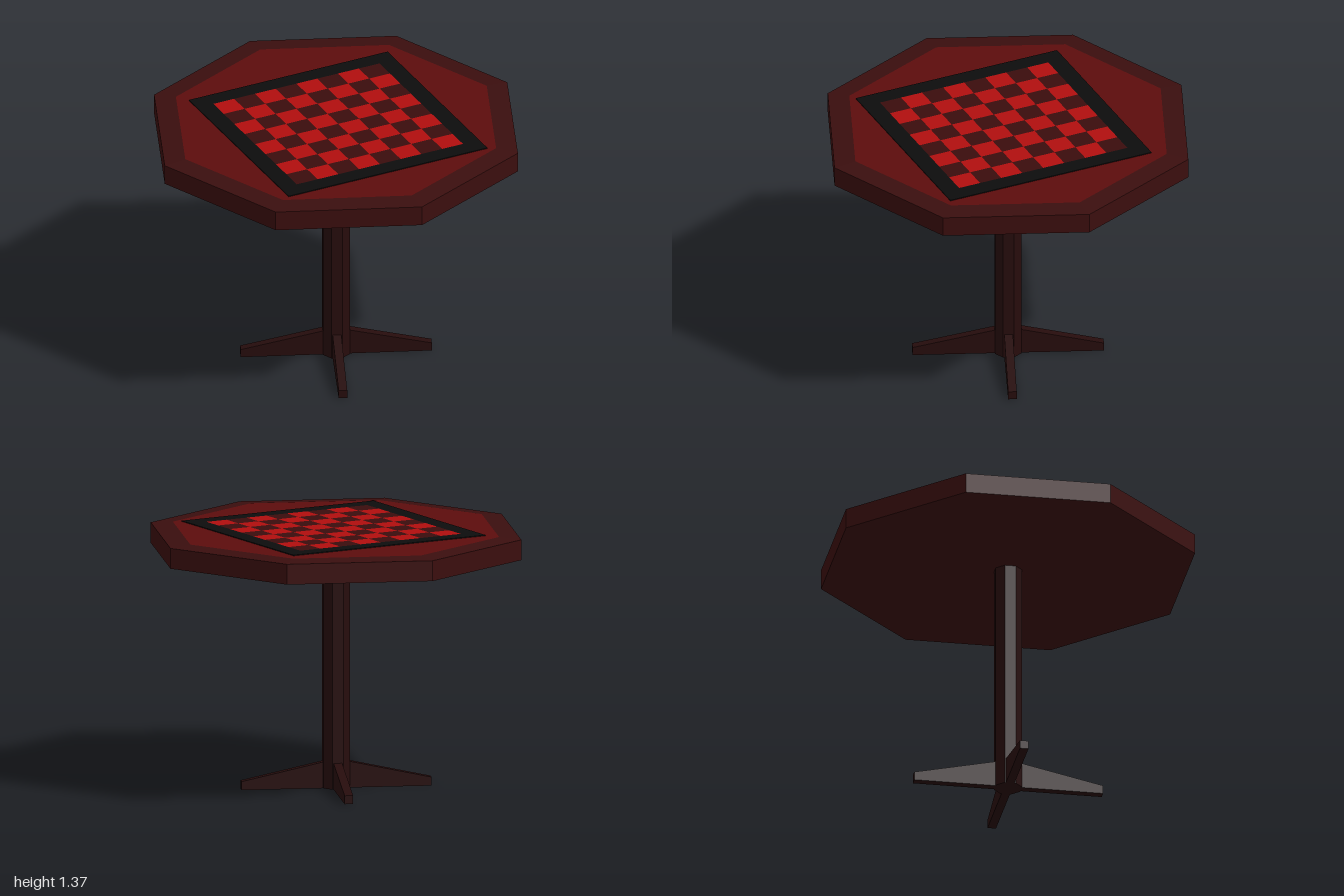
import * as THREE from 'three';
import { mergeGeometries } from 'three/addons/utils/BufferGeometryUtils.js';

const paint = (color) => new THREE.MeshStandardMaterial({ color, flatShading: true });

export function createModel() {
  const table = new THREE.Group();
  table.name = 'gamesTable';
  const add = (name, geometry, material, parent = table) => {
    const mesh = new THREE.Mesh(geometry, material);
    mesh.name = name;
    parent.add(mesh);
    return mesh;
  };
  const octagonal = (points) =>
    new THREE.LatheGeometry(points.map(([r, y]) => new THREE.Vector2(r, y)), 8);

  const rimWood = paint(0x3a0e0e);
  const legWood = paint(0x260c0c);
  const topY = 1.367;

  // Octagonal top: underside, edge and shallow bevel, then the flat red panel
  add('tabletopRim', octagonal([[0, 1.25], [1, 1.25], [1, 1.358], [0.88, topY]]), rimWood);
  add('tabletopPanel', octagonal([[0.88, topY], [0, topY]]), paint(0x5c0c0c));

  // Game board, set slightly towards the front
  const board = new THREE.Group();
  board.name = 'gameBoard';
  board.position.set(0, topY, 0.025);
  table.add(board);

  const square = (half, Type) => new Type([
    new THREE.Vector2(-half, -half), new THREE.Vector2(half, -half),
    new THREE.Vector2(half, half), new THREE.Vector2(-half, half),
  ]);
  const inner = 0.485;
  const thick = 0.004;
  const frame = square(0.58, THREE.Shape);
  frame.holes.push(square(inner, THREE.Path));
  const frameGeometry = new THREE.ExtrudeGeometry(frame, { depth: thick, bevelEnabled: false });
  frameGeometry.rotateX(-Math.PI / 2);
  add('boardFrame', frameGeometry, paint(0x0c0c0c), board);

  // Eight by eight squares, alternating, red in the back left corner
  const cell = inner / 4;
  const cells = [[], []];
  for (let row = 0; row < 8; row++) {
    for (let col = 0; col < 8; col++) {
      cells[(row + col) % 2].push(new THREE.BoxGeometry(cell, thick, cell)
        .translate((col - 3.5) * cell, thick / 2, (row - 3.5) * cell));
    }
  }
  add('lightSquares', mergeGeometries(cells[0]), paint(0xb00e0e), board);
  add('darkSquares', mergeGeometries(cells[1]), paint(0x3a0c0c), board);

  // Octagonal column
  add('column', new THREE.CylinderGeometry(0.076, 0.076, 1.25, 8).translate(0, 0.625, 0), legWood);

  // Four tapering feet, each leaving a flat face of the column
  const width = 0.045;
  const profile = new THREE.Shape(
    [[0, 0], [0.5, 0], [0.5, 0.045], [0.065, 0.14], [0, 0.14]].map(([x, y]) => new THREE.Vector2(x, y)));
  const foot = new THREE.ExtrudeGeometry(profile, { depth: width, bevelEnabled: false })
    .translate(0, 0, -width / 2);
  for (let i = 0; i < 4; i++) {
    add('foot' + (i + 1), foot, legWood).rotation.y = -Math.PI / 8 - i * Math.PI / 2;
  }

  return table;
}
